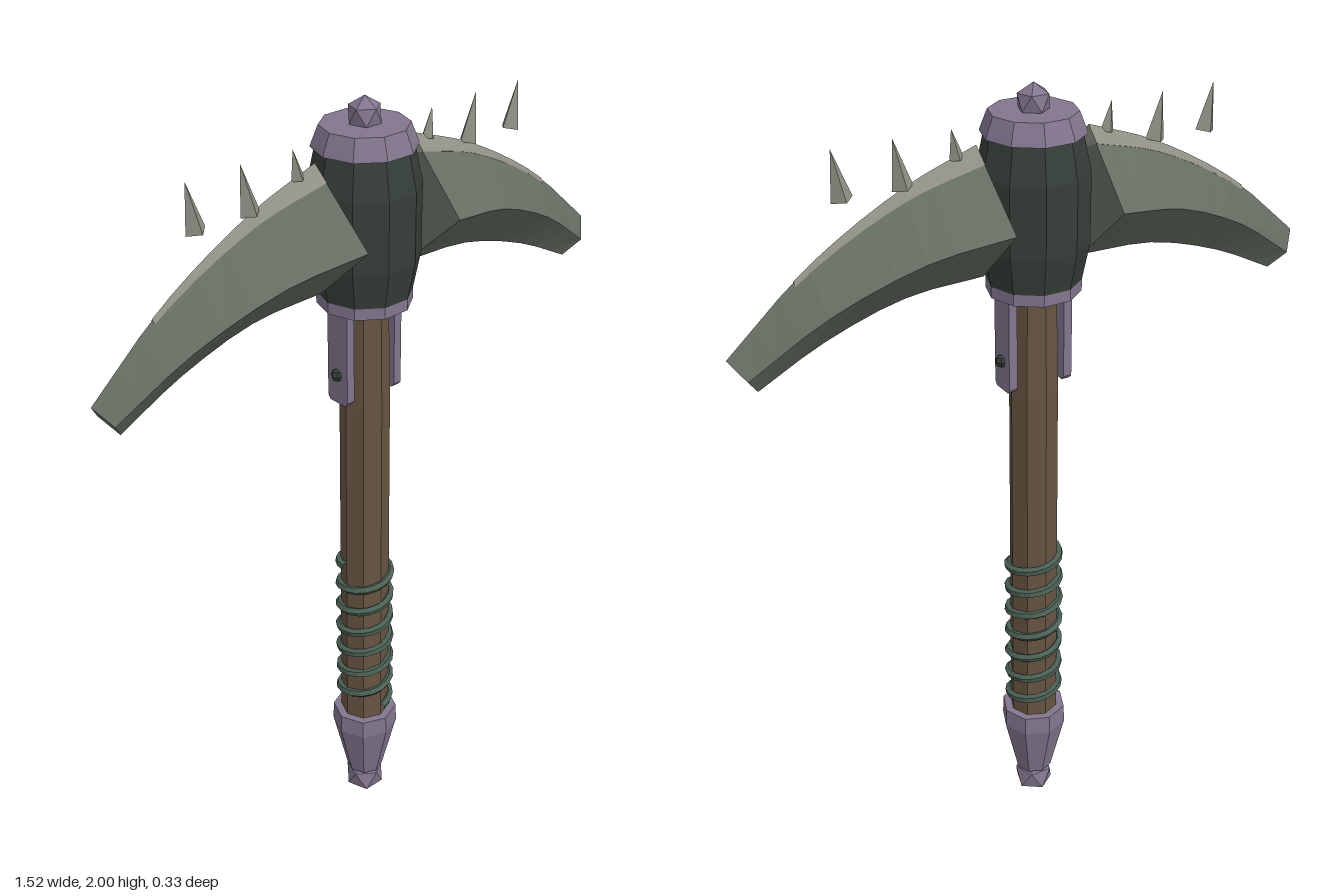
import * as THREE from 'three';

const material = (name, color, extra = {}) => {
  const m = new THREE.MeshStandardMaterial({ color, flatShading: true, ...extra });
  m.name = name;
  return m;
};

export function createModel() {
  const purple = material('purple metal', 0x82768e);
  const wood = material('brown wood', 0x675442);
  const dark = material('dark iron', 0x363e39);
  const steel = material('grey green steel', 0x666e63);
  const pale = material('pale edge', 0x8f8f85);
  const wrap = material('green cord', 0x4a5f54);

  const model = new THREE.Group();
  model.name = 'pickaxe';

  const add = (parent, name, geometry, mat, x = 0, y = 0, z = 0) => {
    const mesh = new THREE.Mesh(geometry, mat);
    mesh.name = name;
    mesh.position.set(x, y, z);
    parent.add(mesh);
    return mesh;
  };

  // Faceted turned part from [radius, y] pairs, closed at both ends
  const turned = (name, profile, sides, mat, turn = 0) => {
    const pts = [[0, profile[0][1]], ...profile, [0, profile.at(-1)[1]]];
    const geo = new THREE.LatheGeometry(pts.map(([r, y]) => new THREE.Vector2(r, y)), sides);
    return add(model, name, geo.rotateY(turn), mat);
  };

  // Icosahedral gem with one corner pointing up
  const gem = (name, r, y) => {
    const geo = new THREE.IcosahedronGeometry(r).rotateX(-Math.atan((1 + Math.sqrt(5)) / 2));
    add(model, name, geo, purple, 0, y);
  };

  // Handle and pommel
  turned('handle', [[0.063, 0.28], [0.061, 1.25], [0.056, 1.53]], 8, wood);
  turned('pommelSocket', [[0.048, 0.09], [0.086, 0.25], [0.084, 0.3]], 8, purple);
  gem('pommelGem', 0.055, 0.055);

  // Cord spiralling up the grip
  const turns = 6.75;
  const helix = [];
  for (let i = 0; i <= turns * 12; i++) {
    const a = (i / 12) * Math.PI * 2;
    helix.push(new THREE.Vector3(Math.sin(a) * 0.066, 0.33 + (i / (turns * 12)) * 0.455, Math.cos(a) * 0.066));
  }
  add(model, 'gripCord', new THREE.TubeGeometry(new THREE.CatmullRomCurve3(helix), 110, 0.011, 5), wrap);

  // Head barrel with collar, cap and finial
  const tenth = Math.PI / 10;
  turned('headBarrel', [[0.113, 1.54], [0.131, 1.63], [0.131, 1.8], [0.11, 1.9]], 10, dark, tenth);
  turned('headCollar', [[0.113, 1.512], [0.113, 1.556]], 10, purple, tenth);
  turned('headCap', [[0.122, 1.888], [0.118, 1.9], [0.103, 1.938]], 10, purple, tenth);
  gem('finial', 0.042, 1.958);

  // Blade outline: top and bottom edges, sampled into stations
  const curve = (pts) => new THREE.CatmullRomCurve3(pts.map(([x, y]) => new THREE.Vector3(x, y, 0)));
  const topEdge = curve([[0.145, 1.88], [0.33, 1.812], [0.56, 1.68], [0.76, 1.51]]);
  const lowEdge = curve([[0.132, 1.57], [0.33, 1.56], [0.53, 1.5], [0.695, 1.42]]);
  const station = (t) => {
    const top = topEdge.getPoint(t);
    const low = lowEdge.getPoint(t);
    const mid = top.clone().lerp(low, 0.51);
    return { top, low, mid, w: THREE.MathUtils.mapLinear(mid.x, 0.14, 0.727, 0.165, 0.033) };
  };

  // Skin four-cornered sections ordered top, +z, bottom, -z along +x
  const loft = (sections) => {
    const pos = [];
    const tri = (...p) => p.forEach((v) => pos.push(v.x, v.y, v.z));
    for (let i = 0; i < sections.length - 1; i++) {
      const s = sections[i];
      const n = sections[i + 1];
      for (let j = 0; j < 4; j++) {
        const k = (j + 1) % 4;
        tri(s[j], s[k], n[j]);
        tri(s[k], n[k], n[j]);
      }
    }
    const a = sections[0];
    const b = sections.at(-1);
    tri(a[0], a[2], a[1]);
    tri(a[0], a[3], a[2]);
    tri(b[0], b[1], b[2]);
    tri(b[0], b[2], b[3]);
    const geo = new THREE.BufferGeometry();
    geo.setAttribute('position', new THREE.Float32BufferAttribute(pos, 3));
    geo.computeVertexNormals();
    return geo;
  };
  const withZ = (v, z) => new THREE.Vector3(v.x, v.y, z);

  const bladeSections = [];
  const ridgeSections = [];
  for (let i = 0; i <= 9; i++) {
    const { top, low, mid, w } = station(i / 9);
    bladeSections.push([top, withZ(mid, w), low, withZ(mid, -w)]);
    // Pale ridge hugging the top edge and fading outward
    const u = (i / 9) * 0.72;
    const r = station(u);
    const f = THREE.MathUtils.lerp(0.21, 0.1, i / 9);
    const side = r.top.clone().lerp(r.mid, f);
    const z = r.w * f + 0.003 * (1 - i / 9);
    const peak = r.top.clone();
    peak.y += 0.002;
    ridgeSections.push([peak, withZ(side, z), r.top.clone().lerp(r.mid, f * 1.5), withZ(side, -z)]);
  }
  const bladeGeo = loft(bladeSections);
  const ridgeGeo = loft(ridgeSections);

  // Both sides of the head, the right being the left turned half way round
  for (const sideName of ['left', 'right']) {
    const half = new THREE.Group();
    half.name = sideName + 'Side';
    if (sideName === 'right') half.rotation.y = Math.PI;
    model.add(half);
    add(half, 'blade', bladeGeo, steel);
    add(half, 'bladeRidge', ridgeGeo, pale);

    // Spikes leaning outward above the blade
    for (const [x, y, r, h] of [[0.2, 1.893, 0.018, 0.07], [0.337, 1.873, 0.026, 0.115], [0.48, 1.873, 0.026, 0.115]]) {
      add(half, 'spike', new THREE.ConeGeometry(r, h, 4), pale, x, y).rotation.z = -0.17;
    }

    // Strap running down the handle, with chamfered end and rivet
    const shape = new THREE.Shape([
      [-0.034, 1.53], [-0.034, 1.28], [-0.026, 1.27], [0.026, 1.27], [0.034, 1.28], [0.034, 1.53],
    ].map(([x, y]) => new THREE.Vector2(x, y)));
    const strapGeo = new THREE.ExtrudeGeometry(shape, { depth: 0.022, bevelEnabled: false });
    add(half, 'strap', strapGeo.rotateY(Math.PI / 2), purple, 0.064);
    add(half, 'rivet', new THREE.SphereGeometry(0.016, 6, 4), dark, 0.088, 1.345);
  }

  return model;
}
